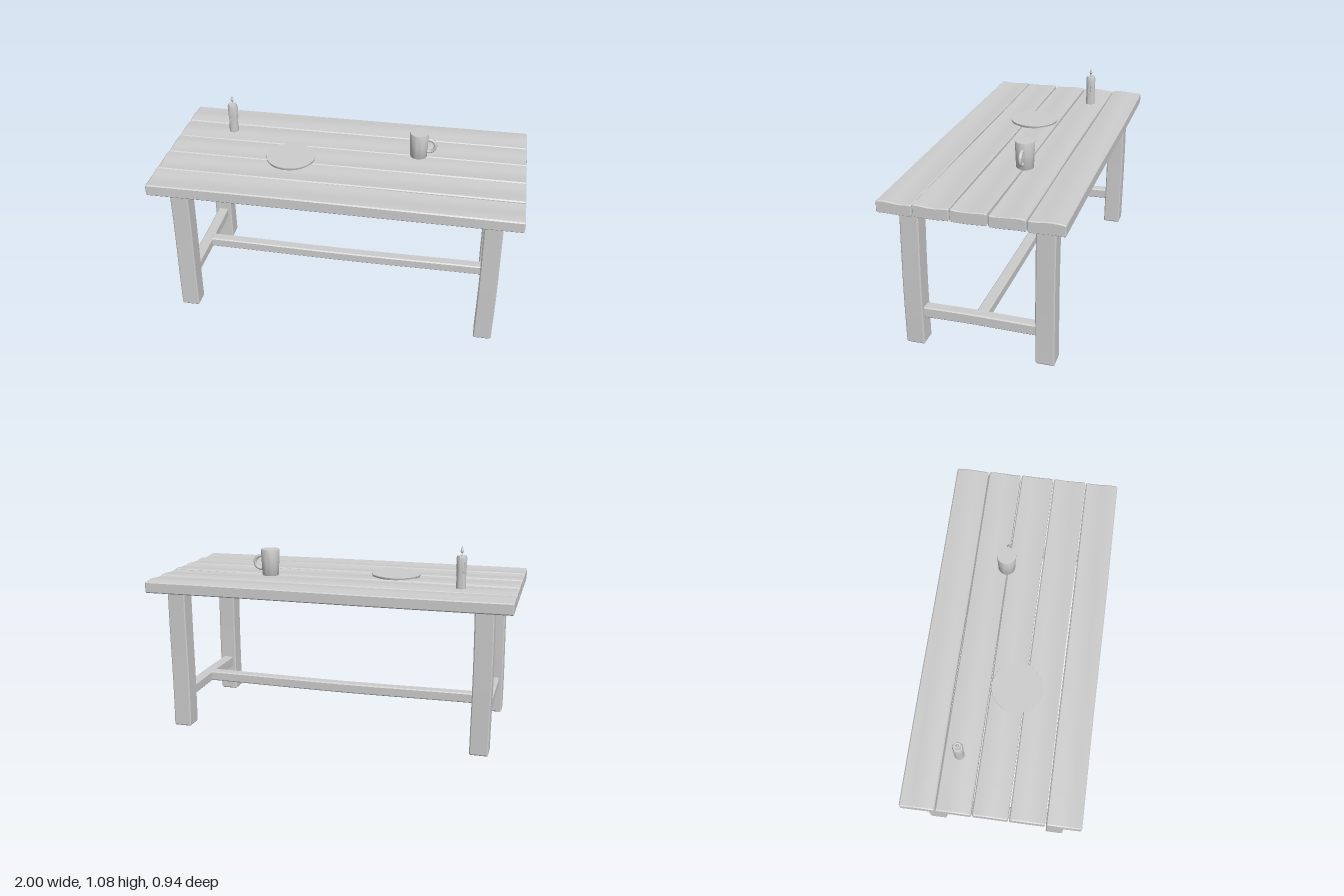
import * as THREE from 'three';
import { toCreasedNormals } from 'three/addons/utils/BufferGeometryUtils.js';

const grey = new THREE.MeshStandardMaterial({ color: 0xcccccc });
grey.name = 'plain grey';

// Chamfered timber along z: w wide, h high, with subdivided faces so it can be warped.
function timber(w, h, length, c = 0.006) {
  const a = w / 2, b = h / 2, n = 6;
  const pts = [];
  for (let i = 0; i <= n; i++) pts.push(new THREE.Vector2(-a + c + (w - 2 * c) * i / n, -b));
  pts.push(new THREE.Vector2(a, -b + c), new THREE.Vector2(a, b - c));
  for (let i = n; i >= 0; i--) pts.push(new THREE.Vector2(-a + c + (w - 2 * c) * i / n, b));
  pts.push(new THREE.Vector2(-a, b - c), new THREE.Vector2(-a, -b + c));
  const geo = new THREE.ExtrudeGeometry(new THREE.Shape(pts), {
    depth: length - 2 * c, steps: 14, bevelEnabled: true,
    bevelThickness: c, bevelSize: c * 0.7, bevelOffset: -c * 0.7, bevelSegments: 1
  });
  return geo.translate(0, 0, c - length / 2);
}

// Moves every vertex by rule(point), then keeps only the hard edges sharp.
function warp(geo, rule) {
  const p = geo.attributes.position, v = new THREE.Vector3();
  for (let i = 0; i < p.count; i++) {
    v.fromBufferAttribute(p, i);
    rule(v);
    p.setXYZ(i, v.x, v.y, v.z);
  }
  return toCreasedNormals(geo, 0.4);
}

function add(parent, name, geo, x = 0, y = 0, z = 0) {
  const mesh = new THREE.Mesh(geo, grey);
  mesh.name = name;
  mesh.position.set(x, y, z);
  parent.add(mesh);
  return mesh;
}

const lathe = (points, sides = 32) => toCreasedNormals(
  new THREE.LatheGeometry(points.map(([r, y]) => new THREE.Vector2(r, y)), sides), 0.6);

function createTable() {
  const table = new THREE.Group();
  table.name = 'table';

  // Five uneven planks
  for (let i = 0; i < 5; i++) {
    const geo = timber(0.184, 0.064, 2).rotateY(Math.PI / 2);
    warp(geo, v => {
      const wave = Math.cos(v.z * 34 + i * 0.9 + v.x * 0.8) * 0.0035 + Math.sin(v.x * 3 + i * 2) * 0.001;
      v.y += v.y > 0 ? wave : wave * 0.4;
      v.z += Math.sin(v.x * 4 + i * 1.7) * 0.0012;
    });
    add(table, 'plank', geo, 0, 0.82, (i - 2) * 0.1895);
  }

  // Four square legs
  for (const sx of [-1, 1]) for (const sz of [-1, 1]) {
    const geo = timber(0.1, 0.1, 0.79).rotateX(-Math.PI / 2);
    warp(geo, v => {
      v.x += Math.sin(v.y * 6 + sx + sz) * 0.002;
      v.z += Math.sin(v.y * 5 + sx * 2) * 0.002;
    });
    add(table, 'leg', geo, sx * 0.85, 0.395, sz * 0.35);
  }

  // Side stretchers between the legs
  for (const sx of [-1, 1]) {
    const geo = timber(0.06, 0.06, 0.62);
    warp(geo, v => { v.y += Math.sin(v.z * 9 + sx) * 0.002; });
    add(table, 'sideStretcher', geo, sx * 0.85, 0.183, 0);
  }

  // Long stretcher, sagging a little
  const long = timber(0.06, 0.056, 1.66).rotateY(Math.PI / 2);
  warp(long, v => { v.y += Math.cos(v.x * 3.6) * -0.003; });
  add(table, 'longStretcher', long, 0, 0.183, 0);
  return table;
}

function createMug() {
  const mug = new THREE.Group();
  mug.name = 'mug';
  mug.position.set(0.4, 0.85, -0.1);
  add(mug, 'mugBody', lathe([[0, 0], [0.045, 0], [0.047, 0.004], [0.05, 0.08],
    [0.053, 0.145], [0.052, 0.149], [0, 0.149]]));
  const handle = add(mug, 'mugHandle', new THREE.TorusGeometry(0.037, 0.0095, 12, 32), 0.054, 0.071, 0);
  handle.scale.x = 1.03;
  return mug;
}

function createCandle() {
  const candle = new THREE.Group();
  candle.name = 'candle';
  candle.position.set(-0.7, 0.85, -0.2);
  add(candle, 'wax', lathe([[0, 0], [0.026, 0], [0.027, 0.02], [0.025, 0.06], [0.0265, 0.11],
    [0.028, 0.165], [0.024, 0.179], [0.019, 0.18], [0.012, 0.176], [0, 0.176]], 24));
  add(candle, 'wick', new THREE.CylinderGeometry(0.002, 0.002, 0.02, 8), 0, 0.185, 0);
  add(candle, 'flame', lathe([[0, 0], [0.005, 0.005], [0.0085, 0.013], [0.005, 0.027], [0, 0.043]], 16), 0, 0.189, 0);

  // Wax drips down the sides: angle, middle height, length
  for (const [angle, y, length] of [[0.3, 0.11, 0.08], [-0.35, 0.125, 0.07], [2.2, 0.1, 0.08], [4, 0.12, 0.06]]) {
    const drip = new THREE.CapsuleGeometry(0.0035, length, 4, 8);
    add(candle, 'drip', drip, Math.cos(angle) * 0.026, y, Math.sin(angle) * 0.026);
  }
  return candle;
}

export function createModel() {
  const model = new THREE.Group();
  model.name = 'tableWithSetting';
  model.add(createTable(), createMug(), createCandle());
  // Flat round plate
  add(model, 'plate', lathe([[0, 0], [0.134, 0], [0.138, 0.013], [0.137, 0.016], [0, 0.016]], 48), -0.3, 0.851, 0.05);
  return model;
}
